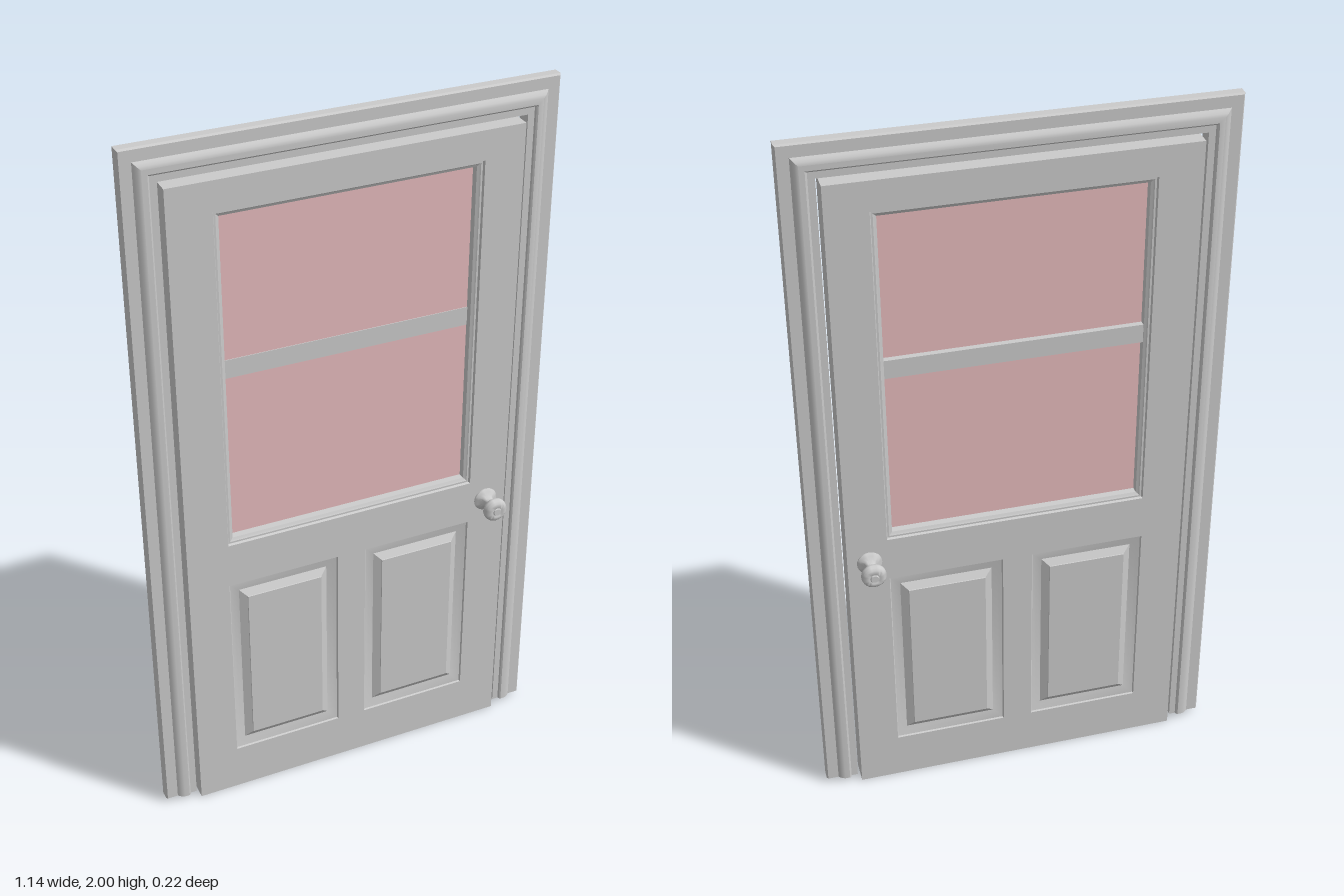
import * as THREE from 'three';
import { toCreasedNormals } from 'three/addons/utils/BufferGeometryUtils.js';

const grey = new THREE.MeshStandardMaterial({ color: 0xcccccc });
const pink = new THREE.MeshStandardMaterial({ color: 0xe6bbbd });
const FACE = 0.033; // half thickness of the door

function add(parent, name, geometry, material = grey) {
  const mesh = new THREE.Mesh(geometry, material);
  mesh.name = name;
  parent.add(mesh);
  return mesh;
}

// Geometry from quads, each four corners counter-clockwise from outside
function fromQuads(quads) {
  const pos = quads.flatMap(([a, b, c, d]) => [a, b, c, a, c, d].flat());
  const g = new THREE.BufferGeometry();
  g.setAttribute('position', new THREE.Float32BufferAttribute(pos, 3));
  g.computeVertexNormals();
  return toCreasedNormals(g, 0.5);
}

// Nested rectangles joined into a moulding; each ring is [inset, z]
function rectMoulding(w, h, rings, capped) {
  const loops = rings.map(([inset, z]) => {
    const x = w / 2 - inset, y = h / 2 - inset;
    return [[-x, -y, z], [x, -y, z], [x, y, z], [-x, y, z]];
  });
  const quads = [];
  for (let i = 0; i < loops.length - 1; i++)
    for (let k = 0; k < 4; k++) {
      const n = (k + 1) % 4;
      quads.push([loops[i][k], loops[i][n], loops[i + 1][n], loops[i + 1][k]]);
    }
  if (capped) quads.push(loops[loops.length - 1]);
  return fromQuads(quads);
}

// Mitred casing: half profile [distance from outer edge, z] swept up, across and down
function casingGeometry() {
  const half = [[0, 0.012], [0.004, 0.017], [0.034, 0.017], [0.038, 0.021], [0.044, 0.026],
    [0.052, 0.029], [0.066, 0.029], [0.07, 0.026], [0.072, 0.021], [0.09, 0.021]];
  const loop = [...half, ...half.map(([d, z]) => [d, -z]).reverse()];
  const stations = [
    ([d, z]) => [-0.57 + d, 0.015, z],
    ([d, z]) => [-0.57 + d, 2 - d, z],
    ([d, z]) => [0.57 - d, 2 - d, z],
    ([d, z]) => [0.57 - d, 0.015, z],
  ];
  const quads = [];
  for (let s = 0; s < 3; s++)
    loop.forEach((p, i) => {
      const q = loop[(i + 1) % loop.length];
      quads.push([stations[s](p), stations[s](q), stations[s + 1](q), stations[s + 1](p)]);
    });
  // Closed feet
  for (let i = 0; i < half.length - 1; i++) {
    const [a, z] = half[i], [b, y] = half[i + 1];
    const foot = [[a, z], [a, -z], [b, -y], [b, y]];
    quads.push(foot.map(stations[0]), foot.map(stations[3]).reverse());
  }
  return fromQuads(quads);
}

function rectPath(cx, cy, w, h, Type) {
  const p = new Type();
  p.moveTo(cx - w / 2, cy - h / 2);
  p.lineTo(cx + w / 2, cy - h / 2);
  p.lineTo(cx + w / 2, cy + h / 2);
  p.lineTo(cx - w / 2, cy + h / 2);
  p.closePath();
  return p;
}

export function createModel() {
  const model = new THREE.Group();
  model.name = 'door';
  add(model, 'casing', casingGeometry());

  // Slab with openings for the window and the two lower panels
  const win = { x: 0.003, y: 1.34, w: 0.714, h: 0.96 };
  const panels = [-0.198, 0.2].map((x) => ({ x, y: 0.437, w: 0.316, h: 0.585 }));
  const outline = rectPath(0, 0.9525, 0.94, 1.895, THREE.Shape);
  for (const o of [win, ...panels]) outline.holes.push(rectPath(o.x, o.y, o.w, o.h, THREE.Path));
  const slab = new THREE.ExtrudeGeometry(outline, { depth: FACE * 2, bevelEnabled: false });
  slab.translate(0, 0, -FACE);
  add(model, 'doorSlab', slab).position.y = -0.005;

  // Window pane and crossbar
  add(model, 'glass', new THREE.BoxGeometry(0.69, 0.94, 0.008), pink).position.set(win.x, win.y, 0);
  add(model, 'windowCrossbar', new THREE.BoxGeometry(0.685, 0.052, 0.026))
    .position.set(win.x, 1.372, -0.007);

  // Knob outline as [radius, height above the door centre]
  const knobProfile = [[0.034, 0.03], [0.034, 0.036], [0.028, 0.042], [0.019, 0.047], [0.014, 0.056],
    [0.014, 0.069], [0.018, 0.075], [0.028, 0.078], [0.033, 0.084], [0.034, 0.091], [0.032, 0.099],
    [0.026, 0.105], [0.016, 0.107], [0.012, 0.105], [0.01, 0.108], [0, 0.109]];
  const knob = toCreasedNormals(new THREE.LatheGeometry(
    knobProfile.map(([r, y]) => new THREE.Vector2(r, y)), 24), 0.7);
  knob.rotateX(Math.PI / 2);

  // Parts repeated on the front and the back
  const windowTrim = rectMoulding(win.w, win.h,
    [[0, FACE], [0.003, 0.027], [0.008, 0.027], [0.012, 0.024], [0.017, 0.022], [0.018, 0.003]], false);
  const panel = rectMoulding(panels[0].w, panels[0].h,
    [[0, FACE], [0.003, 0.029], [0.015, 0.026], [0.03, 0.022], [0.05, 0.034], [0.051, 0.036]], true);
  for (const [side, turn] of [['front', 0], ['back', Math.PI]]) {
    const place = (name, geometry, x, y) => {
      const mesh = add(model, side + name, geometry);
      mesh.position.set(x, y, 0);
      mesh.rotation.y = turn;
    };
    place('WindowTrim', windowTrim, win.x, win.y - 0.005);
    panels.forEach((p, i) => place(i ? 'LeftPanel' : 'RightPanel', panel, p.x, p.y - 0.005));
    place('Knob', knob, 0.41, 0.79);
  }
  return model;
}
